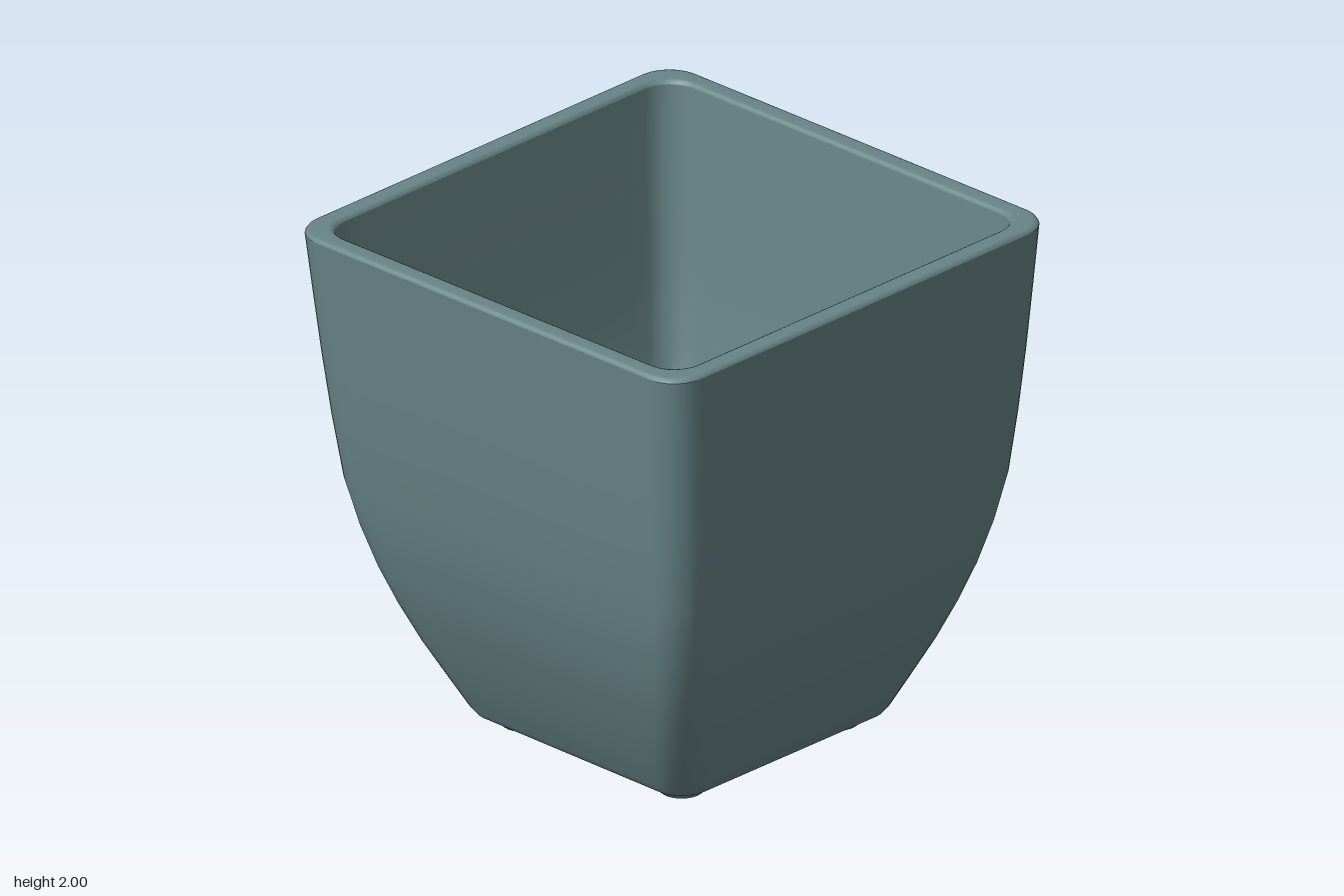
import * as THREE from 'three';

const glaze = new THREE.MeshStandardMaterial({ color: 0x688587 });
glaze.name = 'greyTealGlaze';

// Outline of a rounded square, as [x, z] points with a few points along each side
function roundedSquare(half, radius) {
  const points = [];
  const c = half - radius;
  for (let q = 0; q < 4; q++) {
    const turn = q * Math.PI / 2;
    const add = (x, z) => points.push([
      x * Math.cos(turn) - z * Math.sin(turn),
      x * Math.sin(turn) + z * Math.cos(turn),
    ]);
    for (const t of [-0.9, -0.4, 0, 0.4, 0.9]) add(half, t * c);
    for (let i = 0; i <= 6; i++) {
      const a = i / 6 * Math.PI / 2;
      add(c + radius * Math.cos(a), c + radius * Math.sin(a));
    }
  }
  return points;
}

// Handmade lean: the base sits slightly off centre and the rim dips to one corner
function lean(geometry) {
  const p = geometry.attributes.position;
  for (let i = 0; i < p.count; i++) {
    const x = p.getX(i), y = p.getY(i), z = p.getZ(i);
    const low = 1 - y / 2;
    p.setXYZ(i, x + 0.022 * low, y - (y / 2) * (0.009 * (1 - x) + 0.004 * (1 + z)), z - 0.02 * low);
  }
  geometry.computeVertexNormals();
  return geometry;
}

// Skin through rounded-square rings given as [y, half width, corner radius]
function loft(rings) {
  const positions = [], index = [];
  let n = 0;
  rings.forEach(([y, half, radius], r) => {
    const outline = roundedSquare(half, radius);
    n = outline.length;
    for (const [x, z] of outline) positions.push(x, y, z);
    if (r === 0) return;
    for (let i = 0; i < n; i++) {
      const a = (r - 1) * n + i, b = (r - 1) * n + (i + 1) % n;
      index.push(a, a + n, b, b, a + n, b + n);
    }
  });
  const geometry = new THREE.BufferGeometry();
  geometry.setAttribute('position', new THREE.Float32BufferAttribute(positions, 3));
  geometry.setIndex(index);
  return lean(geometry);
}

export function createModel() {
  const pot = new THREE.Group();
  pot.name = 'squarePlanter';
  const add = (name, geometry) => {
    const mesh = new THREE.Mesh(geometry, glaze);
    mesh.name = name;
    pot.add(mesh);
  };

  // Curved outer wall, from the base edge up
  add('outerWall', loft([
    [0.045, 0.53, 0.1], [0.055, 0.555, 0.11], [0.08, 0.573, 0.12], [0.2, 0.63, 0.13],
    [0.35, 0.697, 0.13], [0.5, 0.755, 0.13], [0.65, 0.805, 0.13], [0.82, 0.85, 0.13],
    [1, 0.886, 0.13], [1.25, 0.914, 0.13], [1.5, 0.937, 0.13], [1.75, 0.957, 0.13],
    [1.985, 0.975, 0.13],
  ]));

  // Narrow flat rim with softened edges
  add('rim', loft([
    [1.985, 0.975, 0.13], [1.996, 0.97, 0.13], [2, 0.958, 0.13],
    [2, 0.91, 0.12], [1.996, 0.9, 0.12], [1.985, 0.895, 0.12],
  ]));

  // Inner wall, from the rim down to the floor
  add('innerWall', loft([
    [1.985, 0.895, 0.12], [1.75, 0.876, 0.12], [1.5, 0.856, 0.12], [1.25, 0.833, 0.12],
    [1, 0.804, 0.12], [0.82, 0.768, 0.12], [0.65, 0.725, 0.12], [0.5, 0.676, 0.12],
    [0.35, 0.62, 0.11], [0.2, 0.56, 0.1], [0.125, 0.53, 0.1],
  ]));

  // Floor with four drainage holes
  const floor = new THREE.Shape(roundedSquare(0.53, 0.1).map(([x, z]) => new THREE.Vector2(x, z)));
  for (let i = 0; i < 4; i++) {
    const a = i * Math.PI / 2;
    const hole = new THREE.Path();
    hole.absarc(0.36 * Math.cos(a), 0.36 * Math.sin(a), 0.062, 0, Math.PI * 2, true);
    floor.holes.push(hole);
  }
  const slab = new THREE.ExtrudeGeometry(floor, { depth: 0.08, bevelEnabled: false, curveSegments: 10 });
  slab.rotateX(-Math.PI / 2).translate(0, 0.045, 0);
  add('floor', lean(slab));

  // Low round feet under the corners
  for (const x of [-1, 1]) {
    for (const z of [-1, 1]) {
      const foot = new THREE.CylinderGeometry(0.125, 0.08, 0.05, 20);
      foot.translate(x * 0.4, 0.025, z * 0.4);
      add('foot', lean(foot));
    }
  }
  return pot;
}
